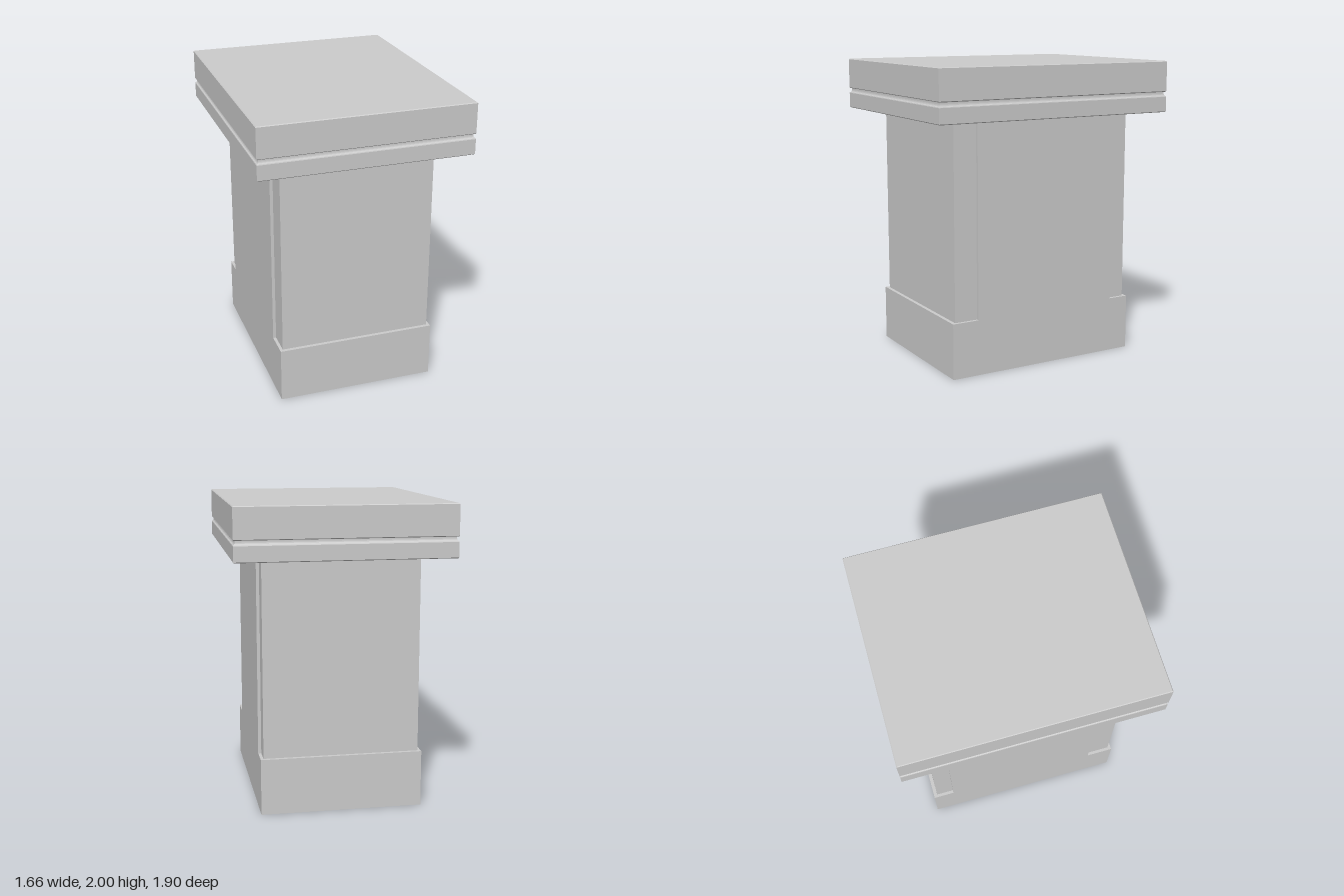
import * as THREE from 'three';

const material = new THREE.MeshStandardMaterial({ color: 0xcccccc, flatShading: true });

// Rectangular solid swept up a profile of [inset, y] points, capped at both ends
function rectLoft(width, depth, profile) {
  const pos = [];
  const ring = ([inset, y]) => {
    const x = width / 2 - inset, z = depth / 2 - inset;
    return [[-x, y, z], [x, y, z], [x, y, -z], [-x, y, -z]];
  };
  const quad = (a, b, c, d) => pos.push(...a, ...b, ...c, ...a, ...c, ...d);
  const rings = profile.map(ring);
  for (let i = 0; i < rings.length - 1; i++) {
    const lo = rings[i], hi = rings[i + 1];
    for (let k = 0; k < 4; k++) {
      const n = (k + 1) % 4;
      quad(lo[k], lo[n], hi[n], hi[k]);
    }
  }
  const [a, b, c, d] = rings[0];
  quad(d, c, b, a);
  quad(...rings[rings.length - 1]);
  const geometry = new THREE.BufferGeometry();
  geometry.setAttribute('position', new THREE.Float32BufferAttribute(pos, 3));
  geometry.computeVertexNormals();
  return geometry;
}

function part(name, geometry, y = 0, z = 0) {
  const mesh = new THREE.Mesh(geometry, material);
  mesh.name = name;
  mesh.position.set(0, y, z);
  return mesh;
}

export function createModel() {
  const group = new THREE.Group();
  group.name = 'pedestal';
  const baseTop = 0.37, capBottom = 1.66;
  const height = capBottom - baseTop, middle = (capBottom + baseTop) / 2;

  // Plinth
  group.add(part('base', new THREE.BoxGeometry(1.06, baseTop, 1.36), baseTop / 2));

  // Shaft, set back slightly from the plinth
  group.add(part('shaft', new THREE.BoxGeometry(1.02, height, 1.312), middle));

  // Side panels, flush with the plinth and leaving a narrow strip at each corner
  const front = 0.497, back = -0.537;
  for (const side of [-1, 1]) {
    const panel = part(side > 0 ? 'leftPanel' : 'rightPanel',
      new THREE.BoxGeometry(0.03, height, front - back), middle, (front + back) / 2);
    panel.position.x = side * 0.515;
    group.add(panel);
  }

  // Cap with softened edges and a coved groove all round
  const profile = [[0.005, capBottom], [0, 1.665], [0, 1.762]];
  for (let i = 0; i <= 5; i++) {
    const t = (i / 5) * Math.PI / 2;
    profile.push([0.002 + 0.011 * Math.sin(t), 1.789 - 0.022 * Math.cos(t)]);
  }
  profile.push([0.013, 1.794], [0.003, 1.796], [0, 1.8], [0, 1.995], [0.005, 2]);
  group.add(part('cap', rectLoft(1.4, 1.695, profile)));

  // The whole pedestal stands turned a little about its upright axis
  group.rotation.y = -THREE.MathUtils.degToRad(9.6);
  const model = new THREE.Group();
  model.add(group);
  return model;
}
